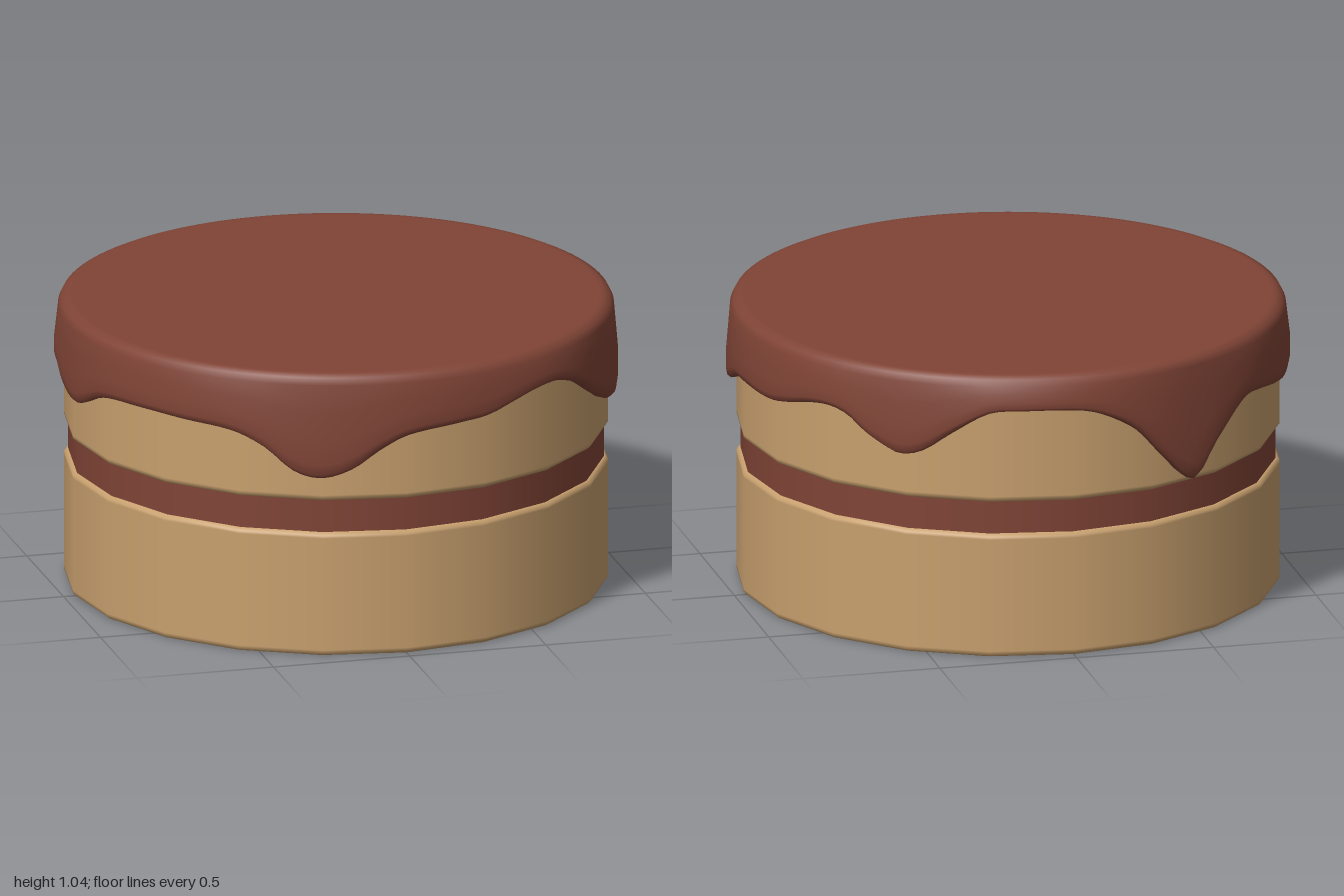
import * as THREE from 'three';

// Lower edge of the frosting: angle in degrees (0 = front, 90 = +x) and height.
const DRIP = [
  [0, 0.815], [11.5, 0.84], [18, 0.85], [24, 0.88], [30, 0.905], [36, 0.912], [41, 0.893], [46, 0.86],
  [53, 0.79], [60, 0.735], [66, 0.71], [70, 0.705], [78, 0.745], [84, 0.78], [90, 0.815], [96, 0.82],
  [107, 0.815], [114, 0.835], [120, 0.86], [126, 0.87], [131, 0.85], [135, 0.8], [139, 0.765],
  [143, 0.74], [148, 0.76], [154, 0.83], [162, 0.91], [169, 0.92], [180, 0.915], [186, 0.89],
  [194, 0.81], [200, 0.7], [208, 0.59], [214, 0.7], [223, 0.82], [230, 0.825], [244, 0.79],
  [253, 0.8], [261, 0.82], [268, 0.78], [276, 0.75], [288, 0.825], [300, 0.84], [312, 0.835], [323, 0.82],
  [330, 0.77], [336, 0.69], [342, 0.665], [348.5, 0.7], [354, 0.765],
];

// Smooth periodic interpolation of the drip heights
function dripHeight(deg) {
  const n = DRIP.length;
  const at = (i) => {
    const p = DRIP[(i + n) % n];
    return [p[0] + 360 * Math.floor(i / n), p[1]];
  };
  let i = n - 1;
  while (DRIP[i][0] > deg) i--;
  const [p0, p1, p2, p3] = [at(i - 1), at(i), at(i + 1), at(i + 2)];
  const w = p2[0] - p1[0], t = (deg - p1[0]) / w;
  const m1 = w * (p2[1] - p0[1]) / (p2[0] - p0[0]);
  const m2 = w * (p3[1] - p1[1]) / (p3[0] - p1[0]);
  const t2 = t * t, t3 = t2 * t;
  return (2 * t3 - 3 * t2 + 1) * p1[1] + (t3 - 2 * t2 + t) * m1
    + (3 * t2 - 2 * t3) * p2[1] + (t3 - t2) * m2;
}

// Rings running from the top centre, over the rim and down to the wavy edge
function frostingGeometry() {
  const SEG = 180, TOP = 1.045, RIM = 1.01;
  const cap = [[0, TOP], [0.93, TOP], [0.95, TOP], [0.973, 1.034], [0.985, RIM]];
  const side = [[0.992, 0.3], [0.999, 0.6], [1.0, 0.85], [0.995, 0.96], [0.982, 1], [0.94, 0.98]];
  const rows = cap.length + side.length;
  const pos = [], index = [];
  for (let i = 0; i < rows; i++) {
    for (let j = 0; j < SEG; j++) {
      const deg = j * 360 / SEG, a = THREE.MathUtils.degToRad(deg);
      const [r, v] = i < cap.length ? cap[i] : side[i - cap.length];
      const y = i < cap.length ? v : RIM + (dripHeight(deg) - RIM) * v;
      pos.push(r * Math.sin(a), y, r * Math.cos(a));
    }
  }
  for (let i = 0; i < rows - 1; i++) {
    for (let j = 0; j < SEG; j++) {
      const k = (j + 1) % SEG;
      const a = i * SEG + j, b = a + SEG, c = (i + 1) * SEG + k, d = i * SEG + k;
      index.push(a, b, c);
      if (i > 0) index.push(a, c, d);
    }
  }
  const g = new THREE.BufferGeometry();
  g.setAttribute('position', new THREE.Float32BufferAttribute(pos, 3));
  g.setIndex(index);
  g.computeVertexNormals();
  return g;
}

// Twenty-sided disc with a tiny bevel at both rims
function discGeometry(r, y0, y1) {
  const b = 0.01;
  const half = [[0, 0], [r - 2 * b, 0], [r - b, 0], [r, b], [r, 2 * b]];
  const pts = [
    ...half.map(([x, h]) => new THREE.Vector2(x, y0 + h)),
    ...half.reverse().map(([x, h]) => new THREE.Vector2(x, y1 - h)),
  ];
  return new THREE.LatheGeometry(pts, 20);
}

export function createModel() {
  const sponge = new THREE.MeshStandardMaterial({ color: 0xc8a06e });
  sponge.name = 'sponge';
  const chocolate = new THREE.MeshStandardMaterial({ color: 0x804436 });
  chocolate.name = 'chocolate';

  const group = new THREE.Group();
  group.name = 'layerCake';
  const add = (name, geometry, material) => {
    const mesh = new THREE.Mesh(geometry, material);
    mesh.name = name;
    group.add(mesh);
  };

  add('lowerSponge', discGeometry(0.965, 0, 0.455), sponge);
  add('filling', discGeometry(0.95, 0.43, 0.6), chocolate);
  add('upperSponge', discGeometry(0.965, 0.575, 1.0), sponge);
  add('frosting', frostingGeometry(), chocolate);
  return group;
}
